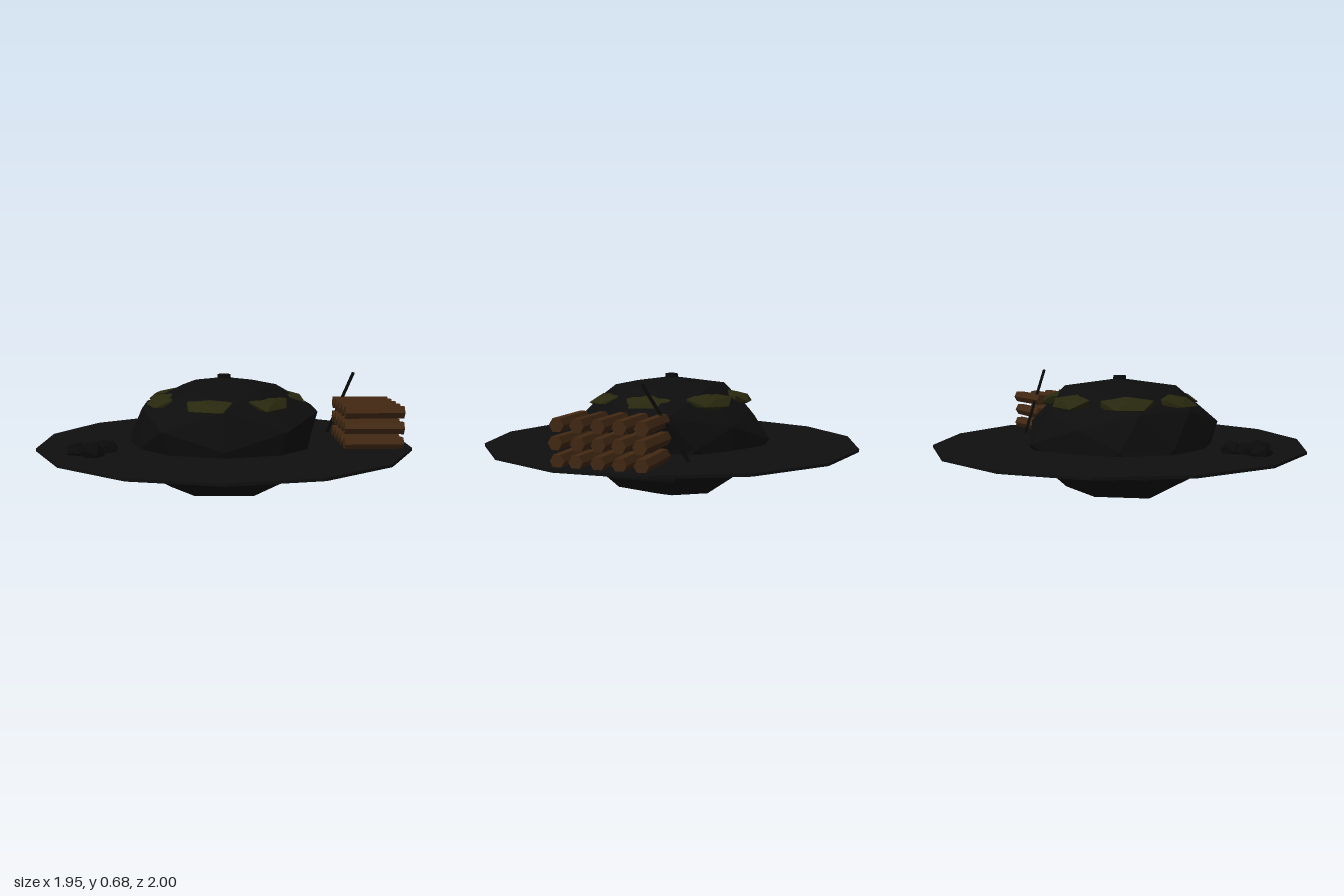
import * as THREE from 'three';

const mat = (name, color, flatShading = true) => {
  const m = new THREE.MeshStandardMaterial({ color, flatShading });
  m.name = name;
  return m;
};

// Small repeatable noise in -1..1
const noise = (n) => {
  const s = Math.sin(n * 127.1 + 11.7) * 43758.5453;
  return (s - Math.floor(s)) * 2 - 1;
};

// Faceted lump; coincident corners get the same random push
function lump(radius, detail, seed, amount) {
  const g = new THREE.IcosahedronGeometry(radius, detail);
  const p = g.attributes.position;
  const v = new THREE.Vector3();
  for (let i = 0; i < p.count; i++) {
    v.fromBufferAttribute(p, i);
    const key = Math.round(v.x / radius * 50) * 1.3 + Math.round(v.y / radius * 50) * 2.7 + Math.round(v.z / radius * 50) * 4.1;
    v.multiplyScalar(1 + amount * noise(key * 0.37 + seed));
    p.setXYZ(i, v.x, v.y, v.z);
  }
  g.computeVertexNormals();
  return g;
}

// Irregular dome: a squashed icosphere with some corners pulled out of place
function moundGeometry() {
  const g = new THREE.IcosahedronGeometry(1, 1);
  const pulls = [
    [-0.51, 0.34, 0], [0.47, 0.33, 0], [0, 0.34, 0.5], [0, 0.34, -0.54],
    [0.28, 0.62, 0], [-0.22, 0.62, 0], [-0.29, 0.05, 0], [0.23, 0.06, 0],
    [0, 0.53, 0.43], [0, 0.19, 0.46], [0, 0.17, -0.41],
  ];
  for (const s of [-1, 1]) {
    pulls.push([0.49, 0.49, 0.14 * s], [-0.43, 0.51, 0.15 * s], [-0.49, 0.19, 0.15 * s], [0.44, 0.17, 0.15 * s]);
    pulls.push([0.31 * s, 0.43, 0.43], [0.16 * s, 0.62, 0.26], [0.16 * s, 0.62, -0.25]);
  }
  const targets = pulls.map((t) => new THREE.Vector3(...t));
  const p = g.attributes.position;
  const v = new THREE.Vector3();
  for (let i = 0; i < p.count; i++) {
    v.fromBufferAttribute(p, i).multiply(new THREE.Vector3(0.5, 0.33, 0.5));
    v.y += 0.33;
    const hit = targets.find((t) => t.distanceTo(v) < 0.11);
    if (hit) v.copy(hit);
    p.setXYZ(i, v.x, v.y, v.z);
  }
  g.computeVertexNormals();
  return g;
}

export function createModel() {
  const model = new THREE.Group();
  const ash = mat('ash ground', 0x0f0f0f);
  const soil = mat('charred soil', 0x0d0d0d);
  const soot = mat('soot black', 0x0a0a0a);
  const moss = mat('moss', 0x28280f);
  const wood = mat('wood', 0x412813);

  const add = (name, geometry, material, parent = model) => {
    const m = new THREE.Mesh(geometry, material);
    m.name = name;
    parent.add(m);
    return m;
  };

  // Ground disc
  add('groundDisc', new THREE.CylinderGeometry(1, 1, 0.014, 14), ash).position.y = 0.304;

  // Mound with its smoke vent
  add('mound', moundGeometry(), soil);
  add('vent', new THREE.CylinderGeometry(0.034, 0.041, 0.05, 8), soot).position.y = 0.65;

  // Ring of moss patches leaning down the slope
  const patches = new THREE.Group();
  patches.name = 'mossPatches';
  model.add(patches);
  for (let i = 0; i < 7; i++) {
    const a = (i / 7) * Math.PI * 2;
    const m = add('mossPatch', lump(1, 0, i * 3.1, 0.14), moss, patches);
    m.scale.set(0.1, 0.037, 0.145);
    m.position.set(Math.cos(a) * 0.345, 0.548, Math.sin(a) * 0.345);
    m.rotation.set(0, -a, -0.25);
  }

  // Stacked firewood
  const stack = new THREE.Group();
  stack.name = 'logStack';
  model.add(stack);
  const logShape = new THREE.CylinderGeometry(0.035, 0.035, 0.305, 6).rotateZ(Math.PI / 2);
  for (let row = 0; row < 3; row++) {
    for (let col = 0; col < 5; col++) {
      const log = add('log', logShape, wood, stack);
      log.position.set(0.77, 0.337 + row * 0.081, -0.17 + col * 0.1);
      log.rotation.y = 0.04 * noise(row * 5 + col);
    }
  }

  // Leaning pole
  const foot = new THREE.Vector3(0.6, 0.3, -0.29);
  const tip = new THREE.Vector3(0.715, 0.672, -0.1);
  const span = tip.clone().sub(foot);
  const pole = add('leaningPole', new THREE.CylinderGeometry(0.009, 0.009, span.length(), 6), soot);
  pole.position.copy(foot).addScaledVector(span, 0.5);
  pole.quaternion.setFromUnitVectors(new THREE.Vector3(0, 1, 0), span.normalize());

  // Heap of charcoal lumps
  const heap = new THREE.Group();
  heap.name = 'charcoalHeap';
  model.add(heap);
  [[-0.6, 0.29, 0.063], [-0.73, 0.36, 0.065], [-0.65, 0.42, 0.064], [-0.67, 0.33, 0.062]].forEach(([x, z, r], i) => {
    const c = add('charcoalLump', lump(r, 0, i * 5.3, 0.12), soot, heap);
    c.position.set(x, 0.322, z);
    c.scale.y = 0.75;
    c.rotation.y = i * 1.3;
  });

  return model;
}
